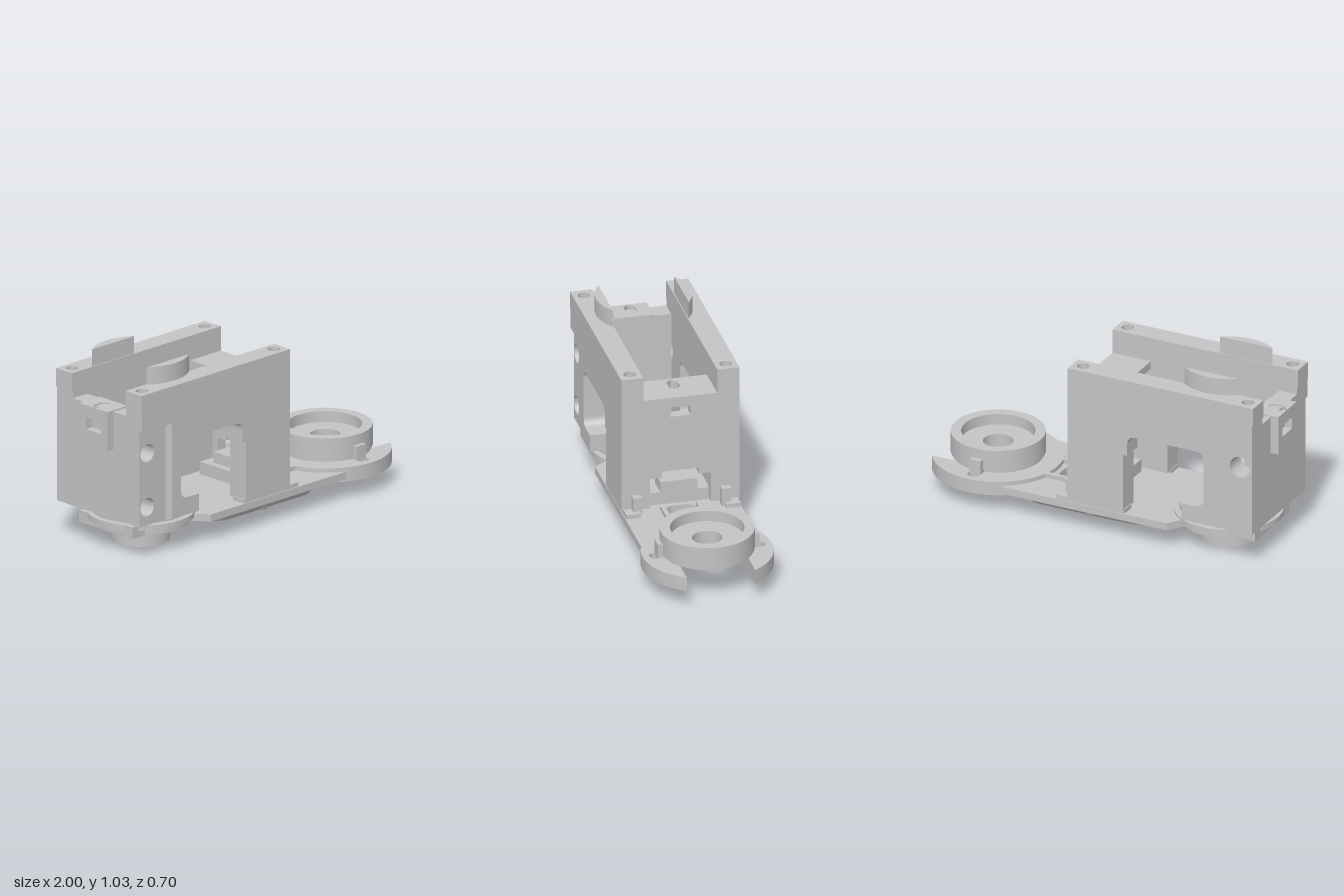
import * as THREE from 'three';
import { toCreasedNormals } from 'three/addons/utils/BufferGeometryUtils.js';

export function createModel() {
  const root = new THREE.Group();
  const grey = new THREE.MeshStandardMaterial({ color: 0xc4c4c4, side: THREE.DoubleSide });
  grey.name = 'grey plastic';

  const add = (name, geometry, x = 0, y = 0, z = 0) => {
    const mesh = new THREE.Mesh(toCreasedNormals(geometry, 0.6), grey);
    mesh.name = name;
    mesh.position.set(x, y, z);
    root.add(mesh);
  };
  const box = (name, x0, x1, y0, y1, z0, z1) =>
    add(name, new THREE.BoxGeometry(x1 - x0, y1 - y0, z1 - z0), (x0 + x1) / 2, (y0 + y1) / 2, (z0 + z1) / 2);
  const extrude = (shape, depth) =>
    new THREE.ExtrudeGeometry(shape, { depth, bevelEnabled: false, curveSegments: 20 });
  // Shape drawn in plan, extruded upwards
  const slab = (name, shape, y0, y1) => add(name, extrude(shape, y1 - y0).rotateX(-Math.PI / 2), 0, y0, 0);
  const vectors = (pts) => pts.map(([x, y]) => new THREE.Vector2(x, y));
  const poly = (pts) => new THREE.Shape(vectors(pts));
  const hole = (pts) => new THREE.Path(vectors(pts));
  const circle = (x, y, r) => new THREE.Path().absarc(x, y, r, 0, Math.PI * 2, true);
  const longNut = (x) => hole([[x - 0.055, 0], [x - 0.03, 0.03], [x + 0.03, 0.03], [x + 0.055, 0],
    [x + 0.03, -0.03], [x - 0.03, -0.03]]);
  const lathe = (name, pts, x, z = 0) => add(name, new THREE.LatheGeometry(vectors(pts), 64), x, 0, z);
  const roundRect = (x0, x1, h, r, Type = THREE.Shape) => {
    const s = new Type();
    s.absarc(x1 - r, h - r, r, 0, Math.PI / 2, false);
    s.absarc(x0 + r, h - r, r, Math.PI / 2, Math.PI, false);
    s.absarc(x0 + r, -h + r, r, Math.PI, Math.PI * 1.5, false);
    s.absarc(x1 - r, -h + r, r, Math.PI * 1.5, Math.PI * 2, false);
    s.closePath();
    return s;
  };

  // Side wall outline with its window; the front skin leaves a shallow corner pocket
  const wallShape = (pocket) => {
    const s = new THREE.Shape();
    s.moveTo(pocket ? -0.735 : -0.955, 0.2);
    s.lineTo(-0.54, 0.2);
    s.lineTo(-0.54, 0.295);
    s.lineTo(-0.62, 0.295);
    s.quadraticCurveTo(-0.67, 0.295, -0.67, 0.345);
    s.lineTo(-0.67, 0.565);
    s.quadraticCurveTo(-0.67, 0.615, -0.62, 0.615);
    s.lineTo(-0.27, 0.615);
    s.quadraticCurveTo(-0.22, 0.615, -0.22, 0.565);
    s.lineTo(-0.22, 0.5);
    s.lineTo(-0.195, 0.5);
    s.lineTo(-0.195, 0.17);
    s.lineTo(0.13, 0.17);
    s.lineTo(0.13, 0.835);
    s.lineTo(-0.955, 0.835);
    if (pocket) {
      s.lineTo(-0.955, 0.73);
      s.lineTo(-0.735, 0.73);
    }
    s.closePath();
    return s;
  };
  const frontWall = wallShape(false);
  for (const y of [0.6, 0.3]) frontWall.holes.push(circle(-0.898, y, 0.05));
  add('frontWall', extrude(frontWall, 0.1), 0, 0, 0.2);
  add('frontWallSkin', extrude(wallShape(true), 0.02), 0, 0, 0.3);
  // Sloped edge of the pocket
  add('pocketEdge', extrude(poly([[-0.765, 0.3], [-0.735, 0.3], [-0.735, 0.32]]), 0.53).rotateX(Math.PI / 2), 0, 0.73, 0);
  const backWall = wallShape(false);
  backWall.holes.push(circle(-0.885, 0.58, 0.06));
  add('backWall', extrude(backWall, 0.12), 0, 0, -0.32);

  for (const side of [1, -1]) {
    // Wall top with screw holes
    const cap = poly([[-0.96, 0.2 * side], [0.13, 0.2 * side], [0.13, 0.32 * side], [-0.96, 0.32 * side]]);
    for (const x of [-0.9, 0.07]) cap.holes.push(circle(x, 0.26 * side, 0.033));
    slab('wallTop', cap, 0.835, 0.935);

    // Arc-shaped post on the wall top
    const a = Math.asin(0.205 / 0.257);
    const post = new THREE.Shape();
    post.absarc(-0.655, 0, 0.257, side * a, side * (Math.PI - a), side < 0);
    post.closePath();
    slab('arcPost', post, 0.9, 1.03);

    // Ledge under the wall, stop beside the wall, tab beside the ring, rib beside the slot
    const pair = (name, x0, x1, y0, y1, z0, z1) =>
      side > 0 ? box(name, x0, x1, y0, y1, z0, z1) : box(name, x0, x1, y0, y1, -z1, -z0);
    pair('wallLedge', -0.2, 0.2, 0.15, 0.178, 0.23, 0.31);
    pair('wallStop', 0.13, 0.17, 0.15, 0.255, 0.215, 0.265);
    pair('ringTab', 0.665, 0.73, 0.17, 0.255, 0.235, 0.275);
    pair('slotRib', 0.13, 0.45, 0.15, 0.178, 0.085, 0.11);

    // Hollow cone boss on the flank of the tub
    lathe('coneBoss', [[0.025, 0.11], [0.025, 0.03], [0.04, 0.03], [0.08, 0.12]], 0.07, 0.15 * side);
  }

  // Right end wall with a slot and a lower opening
  const end = poly([[-0.2, 0.17], [-0.165, 0.17], [-0.165, 0.34], [-0.1, 0.34], [-0.1, 0.375],
    [0.1, 0.375], [0.1, 0.34], [0.165, 0.34], [0.165, 0.17], [0.2, 0.17], [0.2, 0.8], [-0.2, 0.8]]);
  end.holes.push(hole([[-0.055, 0.69], [-0.055, 0.745], [0.055, 0.745], [0.055, 0.69]]));
  add('rightEndWall', extrude(end, 0.06).rotateY(Math.PI / 2), 0.07);
  const shelf = poly([[-0.095, -0.2], [0.1, -0.2], [0.1, 0.2], [-0.095, 0.2]]);
  shelf.holes.push(longNut(-0.025));
  slab('endShelf', shelf, 0.755, 0.8);
  box('innerBracketBase', -0.06, 0.1, 0.17, 0.24, -0.16, 0.16);
  box('innerBracket', -0.02, 0.1, 0.24, 0.3, -0.1, 0.1);

  // Left end wall with a projecting latch
  box('leftEndWall', -0.955, -0.85, 0.2, 0.795, -0.2, 0.2);
  const latch = poly([[-0.105, 0.585], [0.105, 0.585], [0.105, 0.77], [-0.105, 0.77]]);
  latch.holes.push(hole([[-0.055, 0.67], [-0.055, 0.735], [0.055, 0.735], [0.055, 0.67]]));
  add('latch', extrude(latch, 0.05).rotateY(Math.PI / 2), -1);
  const latchTop = poly([[-1, -0.105], [-0.85, -0.105], [-0.85, 0.105], [-1, 0.105]]);
  latchTop.holes.push(longNut(-0.94));
  slab('latchTop', latchTop, 0.77, 0.803);
  box('leftFoot', -0.91, -0.75, 0.1, 0.165, -0.2, 0.2);

  // Pivot below the left end, with a hexagonal nut recess
  lathe('pivot', [[0.04, 0], [0.155, 0], [0.155, 0.1], [0.257, 0.1], [0.257, 0.135], [0.29, 0.135],
    [0.29, 0.165], [0.04, 0.165], [0.04, 0]], -0.655);
  const nutPlate = new THREE.Shape().absarc(-0.655, 0, 0.257, 0, Math.PI * 2, false);
  nutPlate.holes.push(hole(Array.from({ length: 6 }, (_, i) =>
    [-0.655 + 0.08 * Math.cos(i * Math.PI / 3), -0.08 * Math.sin(i * Math.PI / 3)])));
  slab('nutPlate', nutPlate, 0.15, 0.19);

  // Floor plate with the centre slot
  const slot = () => roundRect(0.1, 0.325, 0.08, 0.05, THREE.Path);
  const floor = poly([[-0.53, -0.2], [-0.45, -0.315], [0.5, -0.315], [0.5, 0.315], [-0.45, 0.315], [-0.53, 0.2]]);
  floor.holes.push(slot());
  slab('floorPlate', floor, 0.115, 0.155);
  for (const z of [1, -1]) box('floorCorner', 0.5, 0.56, 0.115, 0.155, z * 0.265 - 0.05, z * 0.265 + 0.05);

  // Tub below the floor: flared sides and a slotted bottom
  const rings = [[0.13, -0.5, 0.5, 0.31], [0.112, -0.36, 0.5, 0.26], [0.09, -0.325, 0.5, 0.22],
    [0.055, -0.31, 0.5, 0.2], [0.035, -0.305, 0.495, 0.185], [0.027, -0.29, 0.485, 0.165]];
  const pos = [], idx = [], n = 64;
  rings.forEach(([y, x0, x1, h]) => {
    const c = roundRect(x0, x1, h, h * 0.75).getSpacedPoints(n);
    for (let i = 0; i <= n; i++) pos.push(c[i].x, y, -c[i].y);
  });
  for (let j = 0; j < rings.length - 1; j++) {
    for (let i = 0; i < n; i++) {
      const a = j * (n + 1) + i, b = a + n + 1;
      idx.push(a, b, a + 1, b, b + 1, a + 1);
    }
  }
  const tub = new THREE.BufferGeometry();
  tub.setAttribute('position', new THREE.Float32BufferAttribute(pos, 3));
  tub.setIndex(idx);
  add('tubSides', tub);
  const bottom = roundRect(-0.29, 0.485, 0.165, 0.124);
  bottom.holes.push(slot());
  slab('tubBottom', bottom, 0.027, 0.15);

  // Round hook plate, open towards the right end
  const s0 = Math.asin(0.185 / 0.35);
  const hook = new THREE.Shape();
  hook.absarc(0.7, 0, 0.35, s0, Math.PI * 2 - s0, false);
  hook.absarc(0.685, 0, 0.185, Math.PI * 1.5, Math.PI / 2, true);
  hook.closePath();
  for (const z of [0.28, -0.28]) hook.holes.push(circle(0.7, z, 0.035));
  slab('hookPlate', hook, 0.1, 0.178);

  // Bearing ring
  lathe('bearingRing', [[0.08, 0.178], [0.24, 0.178], [0.24, 0.195], [0.25, 0.195], [0.25, 0.31],
    [0.195, 0.31], [0.195, 0.25], [0.08, 0.25], [0.08, 0.178]], 0.7);

  return root;
}
